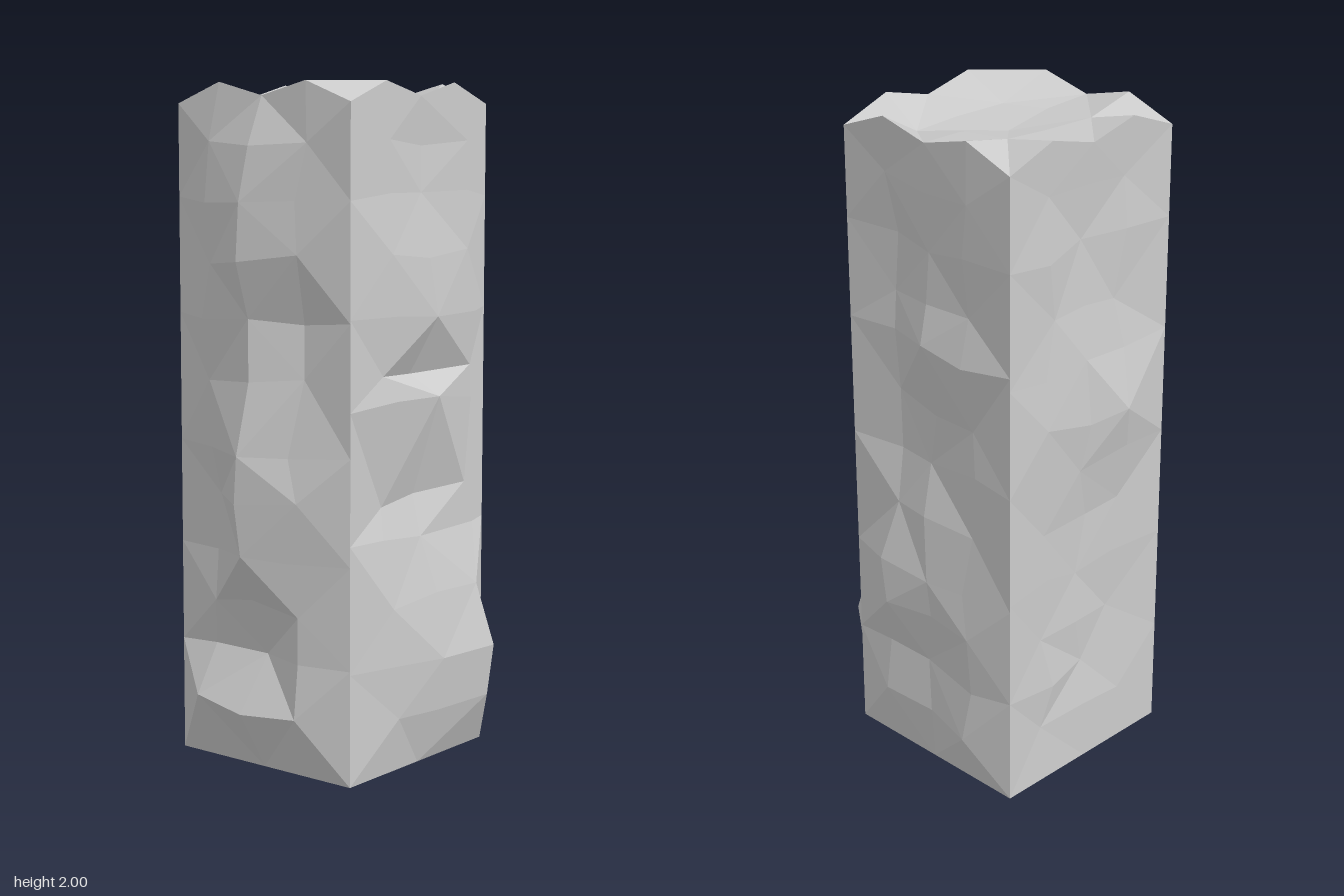
import * as THREE from 'three';

const X0 = -0.35, X1 = 0.295, Z0 = -0.365, Z1 = 0.278;
const N = 4, ROWS = 12;
// Height of the chipped upper rim at each column
const RIM = [1.94, 2, 1.96, 2, 1.94];

// Outward relief in hundredths; rows run from top to bottom, columns left to right from outside.
// The cols and rows give the grid lines, rows from bottom to top.
const FRONT = {
  cols: [0.24, 0.49, 0.75],
  rows: [0.185, 0.34, 0.5, 0.64, 0.8, 0.95, 1.15, 1.33, 1.5, 1.67, 1.83],
  depth: [
    [3, 6, 2], [6, 9, 4], [6, 10, 5], [5, 6, 0], [4, 8, 2], [3, 13, 6],
    [2, 13, 7], [2, 12, 7], [4, 4, 5], [1, -1, 5], [8, 9, 7]] };
const LEFT = {
  cols: [0.27, 0.54, 0.88],
  rows: [0.16, 0.33, 0.5, 0.7, 0.8, 1.08, 1.18, 1.34, 1.5, 1.67, 1.83],
  depth: [
    [0, -1, 0], [0, 0, 0], [2, 3, 1], [2, 4, 1], [0, -4, 0], [2, 4, 0],
    [-3, -4, 0], [0, 0, 0], [3, 4, 5], [4, 7, 10], [3, 5, 8]] };
const BACK = {
  cols: [0.26, 0.5, 0.75],
  rows: [0.17, 0.33, 0.5, 0.64, 0.83, 1, 1.17, 1.37, 1.5, 1.67, 1.83],
  depth: [
    [-1, 0, 1], [-3, 0, 1], [-3, 1, 0], [-2, 4, 3], [-3, -1, -1], [-3, -2, 0],
    [0, 2, 0], [5, 4, 2], [6, 3, 3], [1, 0, 2], [3, 2, 4]] };
const RIGHT = {
  cols: [0.25, 0.48, 0.7],
  rows: [0.17, 0.33, 0.5, 0.66, 0.83, 1, 1.15, 1.33, 1.5, 1.67, 1.83],
  depth: [
    [-1, -1, -1], [0, -2, 0], [-1, -1, -1], [0, 1, 1], [1, 2, 5], [0, 0, 2],
    [-1, -2, -1], [-1, -2, -1], [-1, -1, -2], [0, -2, -1], [-1, 0, 0]] };
// Heights of the shallow hollow on top, back row first
const HOLLOW = [[1.97, 1.95, 1.92], [1.95, 1.93, 1.93], [1.96, 1.94, 1.94]];

// Seeded variation that keeps the facets irregular
let seed = 7;
const jitter = (a) => {
  seed = (seed * 16807) % 2147483647;
  return (seed / 2147483647 - 0.5) * 2 * a;
};

// Faceted surface from a grid of points; the diagonals alternate
const alternate = (c, r) => (r + c) % 2 === 0;
function facets(name, rows, pointAt, material, rising = alternate) {
  const grid = [];
  for (let r = 0; r <= rows; r++) {
    grid.push([]);
    for (let c = 0; c <= N; c++) grid[r].push(pointAt(c, r));
  }
  const pts = [];
  for (let r = 0; r < rows; r++) {
    for (let c = 0; c < N; c++) {
      const a = grid[r][c], b = grid[r][c + 1], d = grid[r + 1][c], e = grid[r + 1][c + 1];
      if (rising(c, r)) pts.push(a, b, e, a, e, d);
      else pts.push(a, b, d, b, e, d);
    }
  }
  const geometry = new THREE.BufferGeometry().setFromPoints(pts);
  geometry.computeVertexNormals();
  const mesh = new THREE.Mesh(geometry, material);
  mesh.name = name;
  return mesh;
}

// Rough side between two straight corner edges
function side(name, from, to, relief, material) {
  const a = new THREE.Vector3(from[0], 0, from[1]);
  const b = new THREE.Vector3(to[0], 0, to[1]);
  const along = b.clone().sub(a).normalize();
  const out = along.clone().cross(new THREE.Vector3(0, 1, 0));
  return facets(name, ROWS, (c, r) => {
    const innerRow = r > 0 && r < ROWS;
    const inner = innerRow && c > 0 && c < N;
    const p = a.clone().lerp(b, inner ? relief.cols[c - 1] : c / N);
    p.y = r === ROWS ? RIM[c] : innerRow ? relief.rows[r - 1] : 0;
    if (inner) {
      p.addScaledVector(along, jitter(0.025));
      p.addScaledVector(out, relief.depth[ROWS - 1 - r][c - 1] / 100);
      p.y += jitter(0.02);
    }
    return p;
  }, material);
}

export function createModel() {
  const stone = new THREE.MeshStandardMaterial({
    color: 0xcccccc, flatShading: true, side: THREE.DoubleSide });
  const pillar = new THREE.Group();
  pillar.name = 'rockPillar';

  // Four sides, open underneath
  pillar.add(
    side('frontFace', [X0, Z1], [X1, Z1], FRONT, stone),
    side('leftFace', [X1, Z1], [X1, Z0], LEFT, stone),
    side('backFace', [X1, Z0], [X0, Z0], BACK, stone),
    side('rightFace', [X0, Z0], [X0, Z1], RIGHT, stone));

  // Hollowed top that meets the chipped rim, with its front left corner cut across
  pillar.add(facets('topFace', N, (c, r) => {
    const inner = c > 0 && c < N && r > 0 && r < N;
    const j = inner ? 0.03 : 0;
    const y = inner ? HOLLOW[N - 1 - r][c - 1] : RIM[r === 0 || r === N ? c : r];
    return new THREE.Vector3(
      X0 + ((X1 - X0) * c) / N + jitter(j), y, Z1 + ((Z0 - Z1) * r) / N + jitter(j));
  }, stone, (c, r) => alternate(c, r) || (c === N - 1 && r === 0)));
  return pillar;
}
